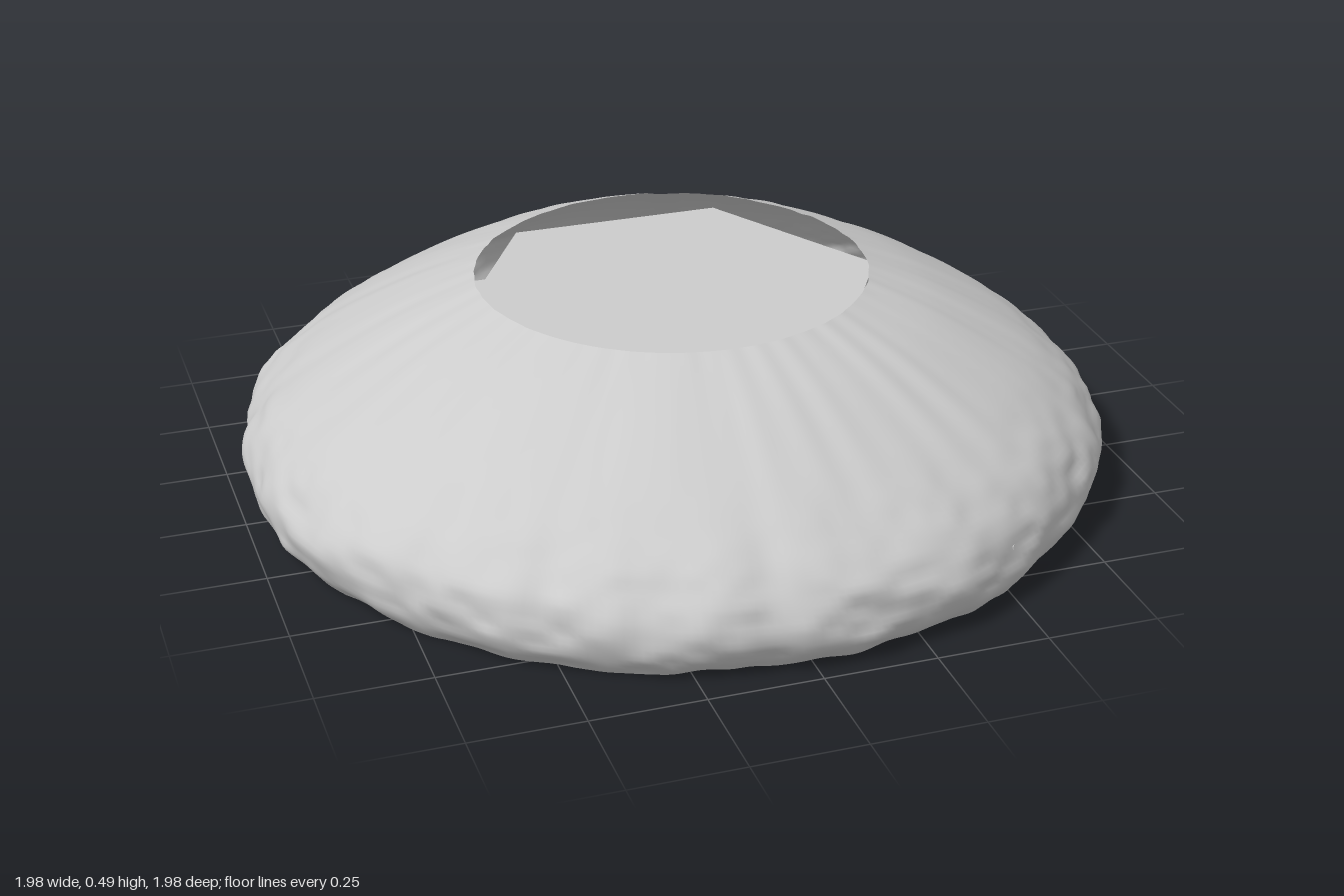
import * as THREE from 'three';
import { mergeVertices } from 'three/addons/utils/BufferGeometryUtils.js';

// Seeded hash and smooth value noise that repeats every `period` cells in u
const hash = (i, j, seed) => {
  const s = Math.sin(i * 127.1 + j * 311.7 + seed * 74.7) * 43758.5453;
  return (s - Math.floor(s)) * 2 - 1;
};
function noise(u, v, period, seed) {
  const i = Math.floor(u), j = Math.floor(v);
  const ease = (t) => t * t * (3 - 2 * t);
  const a = ease(u - i), b = ease(v - j);
  const h = (di, dj) => hash((i + di + period) % period, j + dj, seed);
  return THREE.MathUtils.lerp(
    THREE.MathUtils.lerp(h(0, 0), h(1, 0), a),
    THREE.MathUtils.lerp(h(0, 1), h(1, 1), a), b);
}

// Rough domed skirt, open at the top and bottom
function shellGeometry() {
  const profile = new THREE.SplineCurve([
    [0.93, 0.01], [0.968, 0.055], [0.982, 0.11], [0.97, 0.165], [0.928, 0.22],
    [0.86, 0.278], [0.76, 0.345], [0.6, 0.433], [0.445, 0.5],
  ].map(([r, y]) => new THREE.Vector2(r, y)));
  const lathe = new THREE.LatheGeometry(profile.getSpacedPoints(56), 320);
  lathe.deleteAttribute('uv');
  lathe.deleteAttribute('normal');
  const geometry = mergeVertices(lathe, 1e-5);
  const p = geometry.attributes.position;
  for (let k = 0; k < p.count; k++) {
    const x = p.getX(k), y = p.getY(k), z = p.getZ(k);
    const r = Math.hypot(x, z);
    const turn = Math.atan2(z, x) / (2 * Math.PI) + 0.5;
    // lumps fade into fine radial ridges toward the top opening
    const lump = 1 - THREE.MathUtils.smoothstep(y, 0.12, 0.36);
    const n = (count, rows, seed) => noise((turn * count) % count, y * rows, count, seed);
    const offset = 0.005 * n(16, 3, 1)
      + 0.003 * n(90, 5, 2)
      + lump * (0.009 * n(56, 16, 3) + 0.006 * n(110, 34, 4));
    const edge = Math.min(1, (y - 0.01) / 0.04);
    const s = (r + offset) / r;
    p.setXYZ(k, x * s, y + Math.max(0, edge) * offset * 0.4, z * s);
  }
  geometry.computeVertexNormals();
  return geometry;
}

export function createModel() {
  const model = new THREE.Group();
  model.name = 'roughMound';

  const shell = new THREE.Mesh(shellGeometry(),
    new THREE.MeshStandardMaterial({ color: 0xcccccc, side: THREE.DoubleSide }));
  shell.name = 'shell';
  model.add(shell);

  // Six-sided inner parts, with corners on the x axis
  const flat = new THREE.MeshStandardMaterial({ color: 0xcccccc, flatShading: true });
  const hexagon = (name, topR, bottomR, y0, y1) => {
    const mesh = new THREE.Mesh(
      new THREE.CylinderGeometry(topR, bottomR, y1 - y0, 6, 1, false, Math.PI / 6), flat);
    mesh.name = name;
    mesh.position.y = (y0 + y1) / 2;
    model.add(mesh);
  };
  hexagon('basePlate', 0.97, 0.97, 0.125, 0.145);
  hexagon('innerCore', 0.495, 0.455, 0.1, 0.445);
  return model;
}
